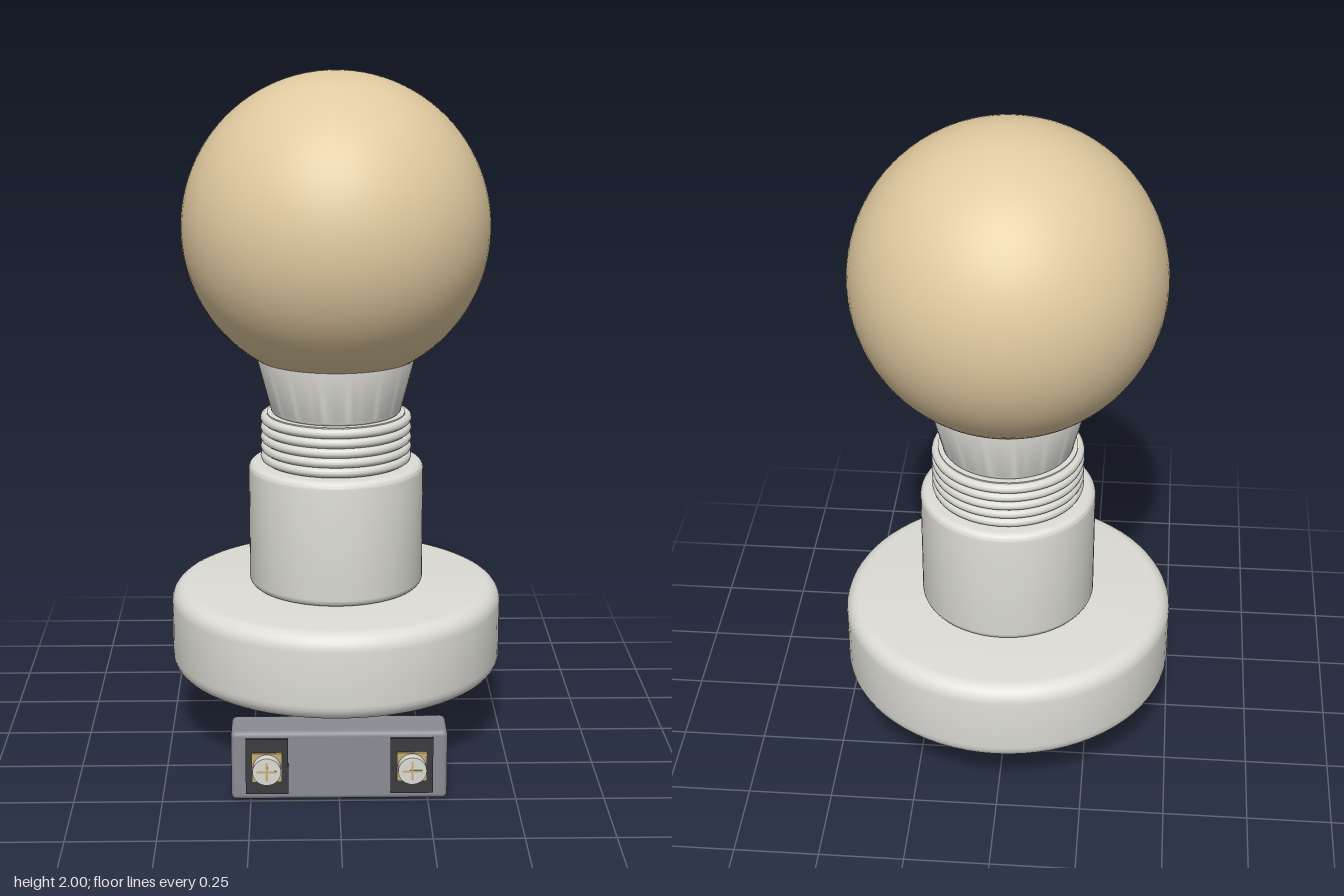
import * as THREE from 'three';
import { toCreasedNormals } from 'three/addons/utils/BufferGeometryUtils.js';
import { RoundedBoxGeometry } from 'three/addons/geometries/RoundedBoxGeometry.js';

const mat = (name, color) => {
  const m = new THREE.MeshStandardMaterial({ color });
  m.name = name;
  return m;
};

export function createModel() {
  const porcelain = mat('porcelain', 0xdddcd5);
  const warmGlass = mat('warm glass', 0xe1caa0);
  const blockGrey = mat('block grey', 0x8b8c92);
  const recessDark = mat('recess dark', 0x3b3b40);
  const brass = mat('brass', 0xc8ae74);
  const steel = mat('steel', 0xdcdad4);

  const model = new THREE.Group();
  model.name = 'bulbAndHolder';

  const add = (parent, name, geometry, material, x = 0, y = 0, z = 0) => {
    const mesh = new THREE.Mesh(geometry, material);
    mesh.name = name;
    mesh.position.set(x, y, z);
    parent.add(mesh);
    return mesh;
  };

  // Turned solid with rounded rims, from radius r0 at y0 to r1 at y1
  const turned = (r0, y0, r1, y1, fillet) => {
    const pts = [new THREE.Vector2(0, y0)];
    const n = 6;
    for (let i = 0; i <= n; i++) {
      const a = -Math.PI / 2 + (i / n) * Math.PI / 2;
      pts.push(new THREE.Vector2(r0 - fillet + Math.cos(a) * fillet, y0 + fillet + Math.sin(a) * fillet));
    }
    for (let i = 0; i <= n; i++) {
      const a = (i / n) * Math.PI / 2;
      pts.push(new THREE.Vector2(r1 - fillet + Math.cos(a) * fillet, y1 - fillet + Math.sin(a) * fillet));
    }
    pts.push(new THREE.Vector2(0, y1));
    return toCreasedNormals(new THREE.LatheGeometry(pts, 72), 0.5);
  };

  // Lamp: everything turned around one upright axis
  const lamp = new THREE.Group();
  lamp.name = 'lamp';
  lamp.position.z = -0.045;
  model.add(lamp);
  add(lamp, 'base', turned(0.495, 0.21, 0.495, 0.472, 0.05), porcelain);
  add(lamp, 'socket', turned(0.26, 0.472, 0.26, 0.85, 0.022), porcelain);
  add(lamp, 'threadCore', new THREE.CylinderGeometry(0.205, 0.205, 0.16, 64), porcelain, 0, 0.92);
  for (let i = 0; i < 5; i++) {
    const ring = add(lamp, 'threadRing', new THREE.TorusGeometry(0.21, 0.0145, 10, 64), porcelain, 0, 0.867 + i * 0.029);
    ring.rotation.x = Math.PI / 2;
  }
  add(lamp, 'neck', turned(0.193, 1.0, 0.235, 1.18, 0.01), porcelain);
  add(lamp, 'globe', new THREE.SphereGeometry(0.45, 72, 48), warmGlass, 0, 1.55);

  // Terminal block at the front
  const block = new THREE.Group();
  block.name = 'terminalBlock';
  model.add(block);
  add(block, 'blockBody', new RoundedBoxGeometry(0.61, 0.205, 0.13, 3, 0.015), blockGrey, 0, 0.1025, 0.43);

  // One screw terminal on each side
  for (const side of [-1, 1]) {
    const terminal = new THREE.Group();
    terminal.name = side > 0 ? 'leftTerminal' : 'rightTerminal';
    terminal.position.set(side * 0.204, 0.105, 0);
    block.add(terminal);
    add(terminal, 'recess', new THREE.BoxGeometry(0.12, 0.165, 0.009), recessDark, 0, 0, 0.4985);
    add(terminal, 'contactPlate', new THREE.BoxGeometry(0.085, 0.085, 0.009), brass, 0, 0, 0.5075);
    const head = add(terminal, 'screwHead', new THREE.CylinderGeometry(0.04, 0.04, 0.03, 32), steel, 0, 0, 0.525);
    head.rotation.x = Math.PI / 2;
    // Crossed driver slots
    add(terminal, 'slotAcross', new THREE.BoxGeometry(0.056, 0.006, 0.002), brass, 0, 0, 0.54);
    add(terminal, 'slotUpright', new THREE.BoxGeometry(0.006, 0.056, 0.002), brass, 0, 0, 0.54);
  }

  return model;
}
